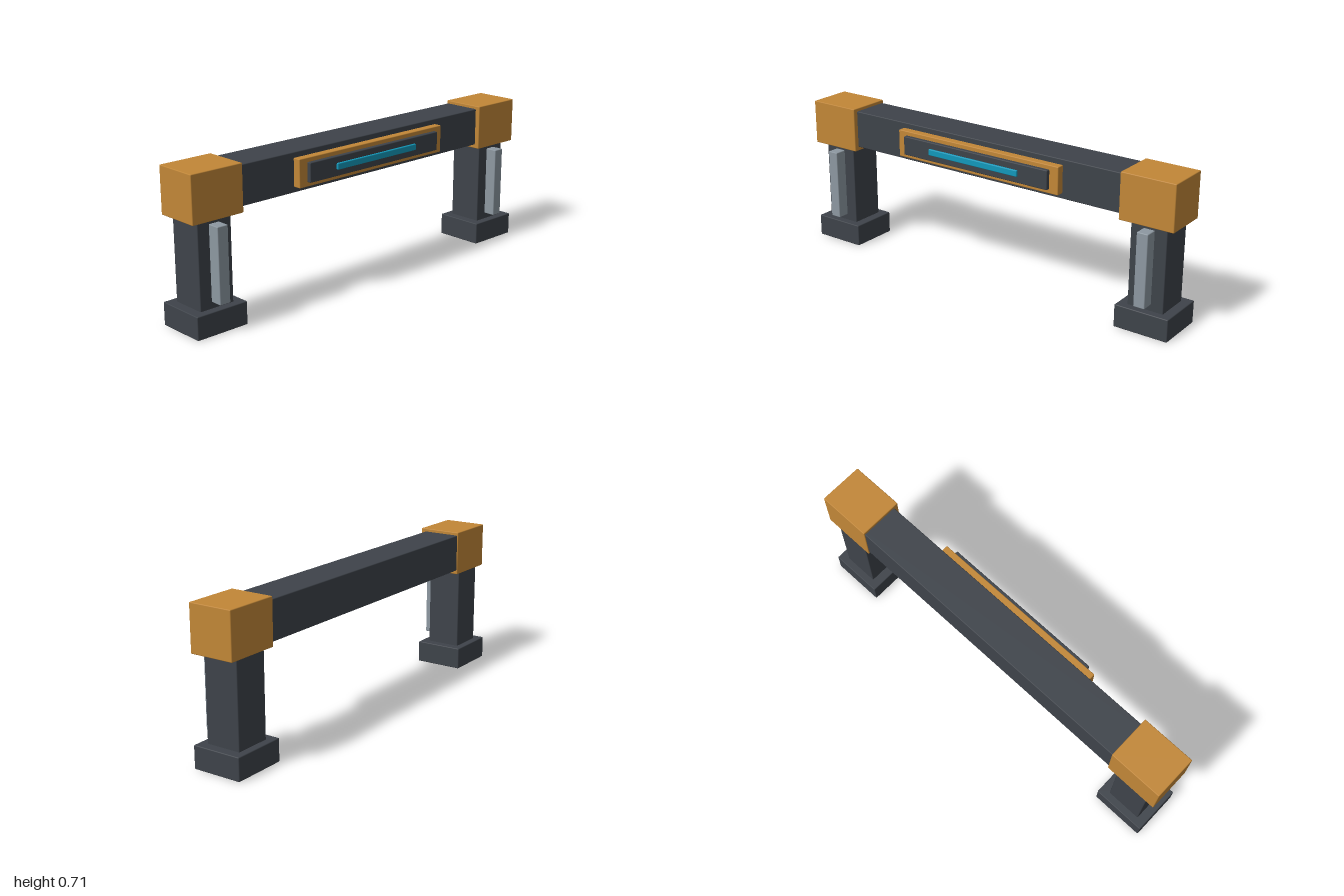
import * as THREE from 'three';
import { RoundedBoxGeometry } from 'three/addons/geometries/RoundedBoxGeometry.js';

const paint = (color) => new THREE.MeshStandardMaterial({ color });

export function createModel() {
  const model = new THREE.Group();
  model.name = 'gateFrame';
  const dark = paint(0x3e434a);
  const orange = paint(0xc28737);
  const steel = paint(0x8d98a1);
  const cyan = paint(0x1299bb);

  // Slightly eased box given by its extents along x, y and z
  function block(parent, name, material, [x0, x1], [y0, y1], [z0, z1], bevel = 0.004) {
    const geometry = new RoundedBoxGeometry(x1 - x0, y1 - y0, z1 - z0, 1, bevel);
    const mesh = new THREE.Mesh(geometry, material);
    mesh.name = name;
    mesh.position.set((x0 + x1) / 2, (y0 + y1) / 2, (z0 + z1) / 2);
    parent.add(mesh);
  }

  // Crossbeam between the corner caps
  block(model, 'crossbeam', dark, [-0.87, 0.87], [0.515, 0.695], [-0.112, 0.073]);

  // Stepped sign panel on the front of the beam
  const panel = new THREE.Group();
  panel.name = 'frontPanel';
  model.add(panel);
  block(panel, 'panelFrame', orange, [-0.445, 0.445], [0.54, 0.67], [0.07, 0.11]);
  block(panel, 'panelInset', dark, [-0.4, 0.4], [0.56, 0.65], [0.09, 0.129]);
  block(panel, 'lightBar', cyan, [-0.247, 0.247], [0.59, 0.62], [0.115, 0.138]);

  // Two matching posts: foot, column, front strip and corner cap
  for (const side of [-1, 1]) {
    const post = new THREE.Group();
    post.name = side > 0 ? 'leftPost' : 'rightPost';
    post.position.x = side * 0.87;
    model.add(post);
    block(post, 'foot', dark, [-0.13, 0.13], [0, 0.106], [-0.137, 0.101]);
    block(post, 'column', dark, [-0.086, 0.086], [0.1, 0.51], [-0.103, 0.065]);
    block(post, 'frontStrip', steel, [-0.027, 0.027], [0.134, 0.475], [0.055, 0.122]);
    block(post, 'cornerCap', orange, [-0.13, 0.13], [0.496, 0.71], [-0.117, 0.096]);
  }
  return model;
}
